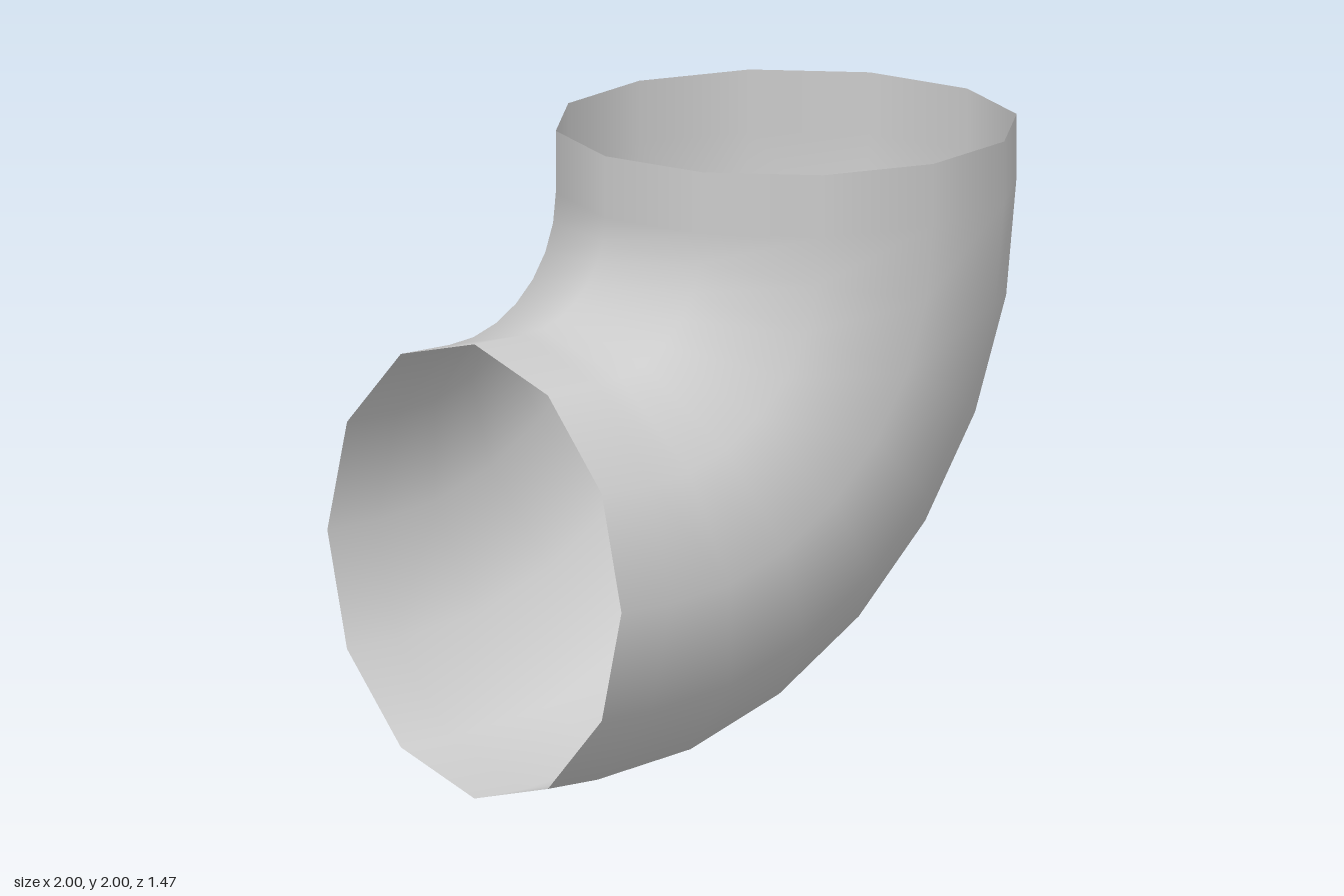
import * as THREE from 'three';

const SIDES = 12;        // facets round the pipe
const BEND_STEPS = 7;    // segments in the quarter bend
const PIPE = 0.735;      // pipe radius
const BEND = 1.065;      // centreline radius of the bend
const STUB = 0.2;        // straight length at each mouth

// Rings along the path: straight stub, quarter bend, straight stub
function ringList() {
  const rings = [{ angle: 0, dx: -STUB, dy: 0 }];
  for (let i = 0; i <= BEND_STEPS; i++) {
    rings.push({ angle: (i / BEND_STEPS) * Math.PI / 2, dx: 0, dy: 0 });
  }
  rings.push({ angle: Math.PI / 2, dx: 0, dy: STUB });
  return rings;
}

// Open, smooth-shaded tube skinned over the rings
function elbowGeometry() {
  const cx = 1 - BEND - PIPE;
  const cy = BEND + PIPE;
  const positions = [], normals = [], index = [];
  const rings = ringList();
  rings.forEach(({ angle, dx, dy }, i) => {
    const s = Math.sin(angle), c = Math.cos(angle);
    for (let j = 0; j < SIDES; j++) {
      const t = (j / SIDES) * Math.PI * 2;
      const r = BEND + PIPE * Math.cos(t);
      positions.push(cx + s * r + dx, cy - c * r + dy, PIPE * Math.sin(t));
      normals.push(s * Math.cos(t), -c * Math.cos(t), Math.sin(t));
      if (i < rings.length - 1) {
        const k = (j + 1) % SIDES;
        const a = i * SIDES + j, b = a + SIDES;
        const d = i * SIDES + k, e = d + SIDES;
        index.push(a, b, d, b, e, d);
      }
    }
  });
  const geometry = new THREE.BufferGeometry();
  geometry.setAttribute('position', new THREE.Float32BufferAttribute(positions, 3));
  geometry.setAttribute('normal', new THREE.Float32BufferAttribute(normals, 3));
  geometry.setIndex(index);
  return geometry;
}

export function createModel() {
  const group = new THREE.Group();
  group.name = 'pipeElbow';
  const material = new THREE.MeshStandardMaterial({ color: 0xcccccc, side: THREE.DoubleSide });
  const elbow = new THREE.Mesh(elbowGeometry(), material);
  elbow.name = 'elbowPipe';
  group.add(elbow);
  return group;
}
